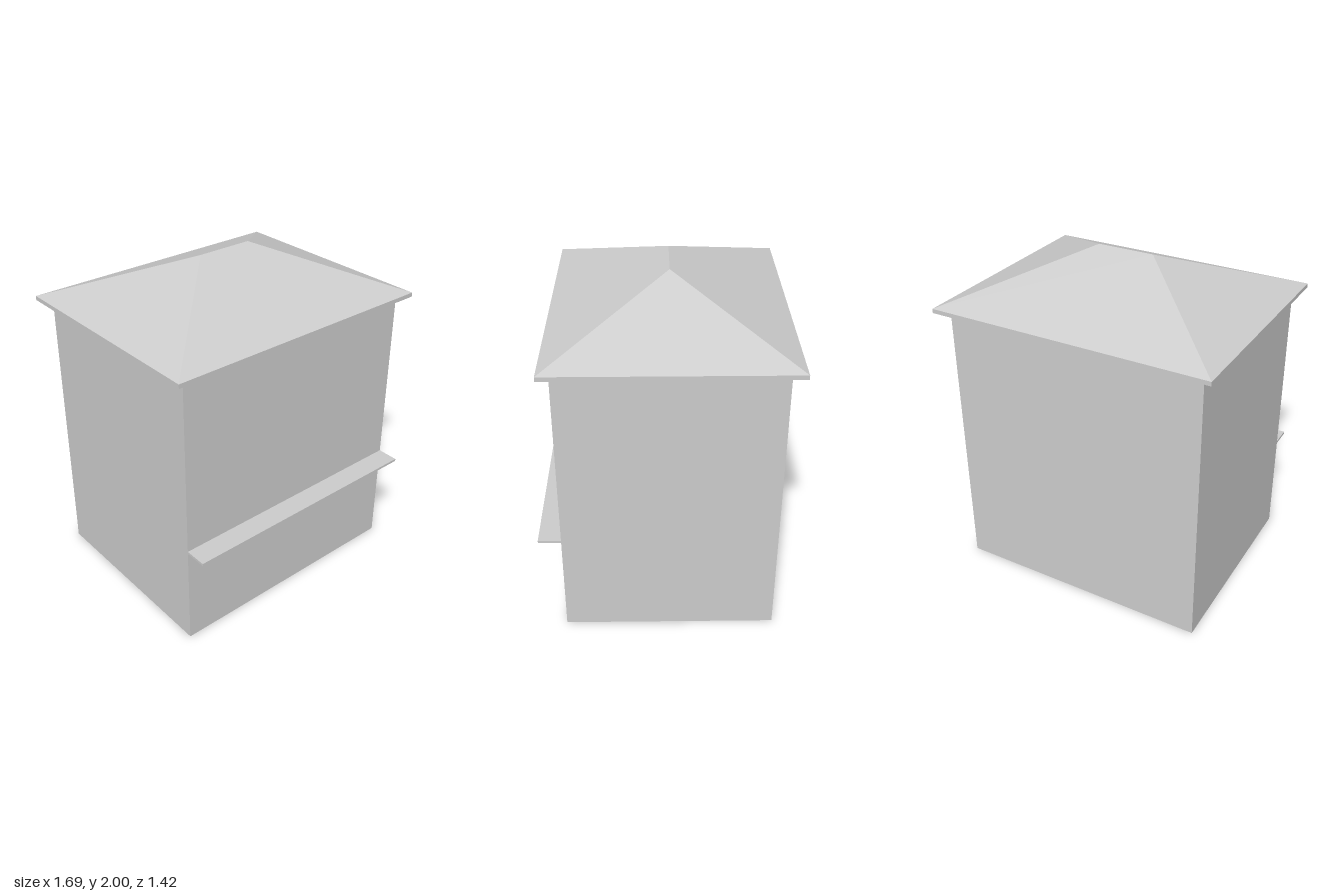
import * as THREE from 'three';
import { ConvexGeometry } from 'three/addons/geometries/ConvexGeometry.js';

export function createModel() {
  const model = new THREE.Group();
  model.name = 'kiosk';
  const grey = new THREE.MeshStandardMaterial({ color: 0xcccccc, side: THREE.DoubleSide });
  grey.name = 'plain grey';

  const halfWidth = 0.775, back = -0.64, front = 0.58, wallTop = 1.695;
  const midZ = (front + back) / 2, depth = front - back;

  const add = (name, geometry, x, y, z, parent = model) => {
    const mesh = new THREE.Mesh(geometry, grey);
    mesh.name = name;
    mesh.position.set(x, y, z);
    parent.add(mesh);
    return mesh;
  };
  // box given by its lowest and highest corners
  const box = (name, [x0, y0, z0], [x1, y1, z1], parent) =>
    add(name, new THREE.BoxGeometry(x1 - x0, y1 - y0, z1 - z0),
      (x0 + x1) / 2, (y0 + y1) / 2, (z0 + z1) / 2, parent);

  // four thin walls, open underneath
  const walls = new THREE.Group();
  walls.name = 'walls';
  model.add(walls);
  const sides = [
    ['frontWall', 0, front, 0], ['leftWall', halfWidth, midZ, 1],
    ['backWall', 0, back, 2], ['rightWall', -halfWidth, midZ, 3],
  ];
  for (const [name, x, z, turns] of sides) {
    const width = turns % 2 ? depth : halfWidth * 2;
    add(name, new THREE.PlaneGeometry(width, wallTop), x, wallTop / 2, z, walls)
      .rotation.y = turns * Math.PI / 2;
  }

  // hipped roof with a shallow fascia and a short ridge
  const eaveX = 0.843, ridgeX = 0.17, ridgeZ = -0.035, eaveZ = 0.675;
  const corners = [];
  for (const sx of [-1, 1]) {
    for (const sz of [-1, 1]) {
      for (const y of [wallTop, 1.72]) corners.push(new THREE.Vector3(sx * eaveX, y, ridgeZ + sz * eaveZ));
    }
    corners.push(new THREE.Vector3(sx * ridgeX, 2, ridgeZ));
  }
  add('roof', new ConvexGeometry(corners), 0, 0, 0);

  // serving counter outside
  box('counter', [-halfWidth, 0.615, front], [halfWidth, 0.63, 0.71]);

  // three raised panels and a shelf on the inside of the front wall
  for (const x of [-0.515, 0, 0.515]) {
    box('innerPanel', [x - 0.22, 0.3, front - 0.035], [x + 0.22, 0.57, front - 0.001]);
  }
  box('innerShelf', [-0.62, 0.8, front - 0.3], [0.62, 0.82, front - 0.001]);

  return model;
}
